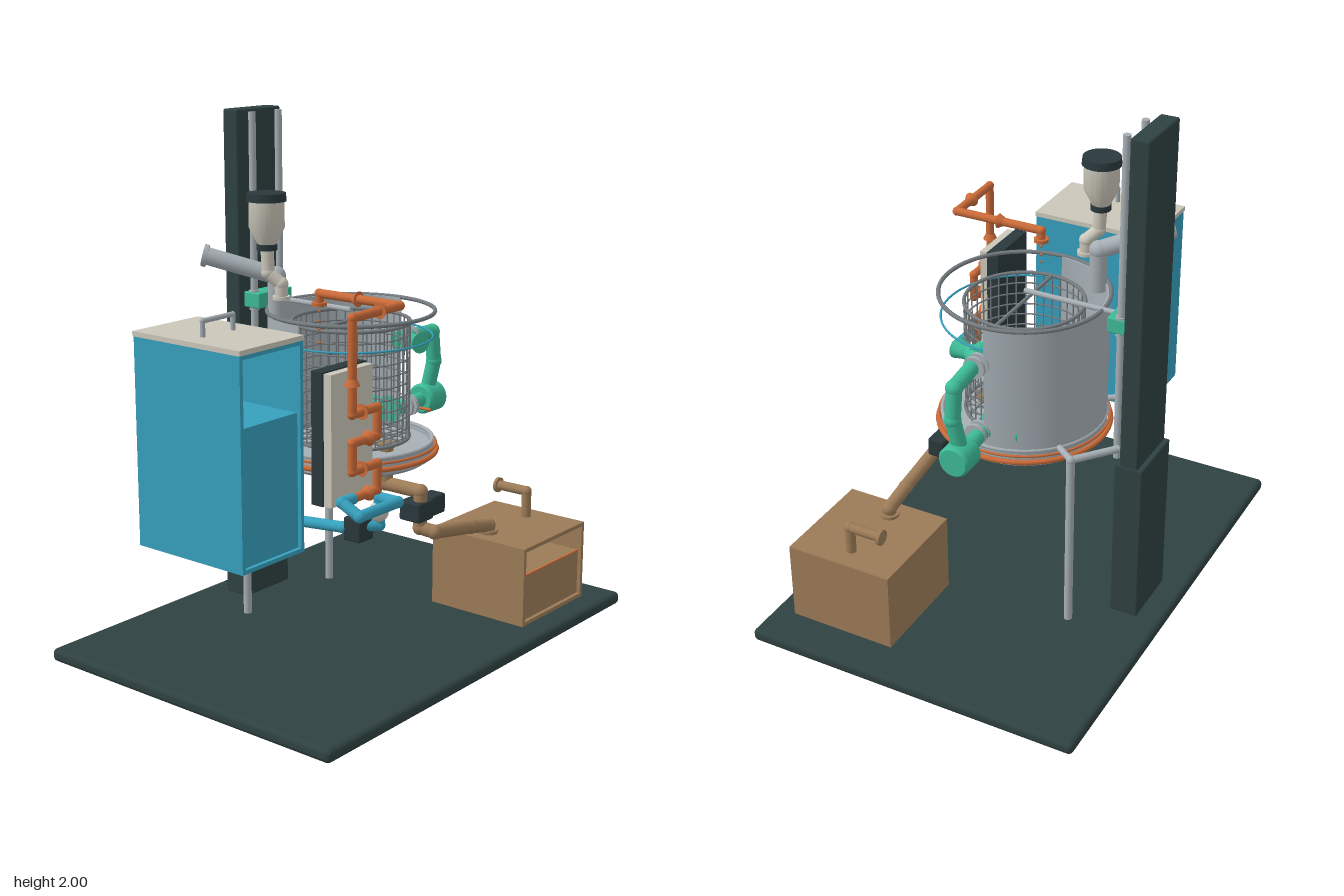
import * as THREE from 'three';
import { toCreasedNormals } from 'three/addons/utils/BufferGeometryUtils.js';
import { RoundedBoxGeometry } from 'three/addons/geometries/RoundedBoxGeometry.js';

const mat = (name, color, side = THREE.FrontSide) => {
  const m = new THREE.MeshStandardMaterial({ color, side });
  m.name = name;
  return m;
};
const dark = mat('darkFrame', 0x2f4141);
const black = mat('darkFittings', 0x2a383c);
const blue = mat('blue', 0x36a0bd);
const cream = mat('cream', 0xcbc7ba);
const steel = mat('steel', 0xa6afb5, THREE.DoubleSide);
const wire = mat('wire', 0x757c80);
const teal = mat('teal', 0x3dba97);
const copper = mat('copper', 0xca6a38);
const brown = mat('brown', 0x9c7b57);

const V = (a) => new THREE.Vector3(...a);

export function createModel() {
  const model = new THREE.Group();
  model.name = 'processRig';
  let parent = model;
  const group = (name) => {
    parent = new THREE.Group();
    parent.name = name;
    model.add(parent);
    return parent;
  };
  const add = (name, geo, m, p = [0, 0, 0]) => {
    const mesh = new THREE.Mesh(geo, m);
    mesh.name = name;
    mesh.position.set(...p);
    parent.add(mesh);
    return mesh;
  };
  // Box given by its low and high limits on each axis
  const box = (name, m, [x0, x1], [y0, y1], [z0, z1], r = 0) => {
    const s = [x1 - x0, y1 - y0, z1 - z0];
    const geo = r ? new RoundedBoxGeometry(...s, 3, r) : new THREE.BoxGeometry(...s);
    return add(name, geo, m, [(x0 + x1) / 2, (y0 + y1) / 2, (z0 + z1) / 2]);
  };
  // Straight rod or cone between two points
  const rod = (name, m, a, b, r0, r1 = r0, sides = 20) => {
    const d = V(b).sub(V(a));
    const mesh = add(name, new THREE.CylinderGeometry(r1, r0, d.length(), sides), m);
    mesh.position.copy(V(a)).addScaledVector(d, 0.5);
    mesh.quaternion.setFromUnitVectors(new THREE.Vector3(0, 1, 0), d.normalize());
    return mesh;
  };
  const ball = (name, m, p, r) => add(name, new THREE.SphereGeometry(r, 20, 14), m, p);
  const ring = (name, m, y, R, r, c = [0.053, -0.03]) => {
    const mesh = add(name, new THREE.TorusGeometry(R, r, 8, 64), m, [c[0], y, c[1]]);
    mesh.rotation.x = Math.PI / 2;
    return mesh;
  };
  // Pipe along a polyline with spherical elbows
  const pipe = (name, m, pts, r) => {
    for (let i = 1; i < pts.length; i++) {
      rod(name, m, pts[i - 1], pts[i], r);
      if (i < pts.length - 1) ball(name + 'Elbow', m, pts[i], r * 1.08);
    }
  };
  const lathe = (name, m, pts, p, start = 0, len = Math.PI * 2) => add(name,
    toCreasedNormals(new THREE.LatheGeometry(pts.map((q) => new THREE.Vector2(...q)), 64, start, len), 0.6), m, p);
  // Open-fronted container holding a block of fluid
  const tank = (name, m, [x0, x1], [y0, y1], [z0, z1], level) => {
    const t = 0.015;
    box(name + 'Back', m, [x0, x1], [y0, y1], [z0, z0 + t]);
    box(name + 'Floor', m, [x0, x1], [y0, y0 + t], [z0, z1]);
    box(name + 'Top', m, [x0, x1], [y1 - t, y1], [z0, z1]);
    box(name + 'SideRight', m, [x0, x0 + t], [y0, y1], [z0, z1]);
    box(name + 'SideLeft', m, [x1 - t, x1], [y0, y1], [z0, z1]);
    box(name + 'Fluid', m, [x0 + t, x1 - t], [y0 + t, level], [z0 + t, z1 - t]);
  };

  group('base');
  box('basePlate', dark, [-0.915, 0.915], [0.03, 0.08], [-0.665, 0.665], 0.02);
  for (const x of [-0.755, 0.755]) for (const z of [-0.515, 0.515]) rod('foot', black, [x, 0, z], [x, 0.035, z], 0.045);

  group('mast');
  box('mastColumn', dark, [-0.07, 0.175], [0.08, 2], [-0.55, -0.478], 0.008);
  box('mastFoot', dark, [-0.072, 0.177], [0.08, 0.735], [-0.57, -0.46], 0.006);
  for (const x of [-0.02, 0.127]) {
    rod('rail', steel, [x, 0.735, -0.447], [x, 1.99, -0.447], 0.014);
    rod('carriageBolt', steel, [x, 1.24, -0.447], [x, 1.315, -0.447], 0.02);
  }
  box('carriage', teal, [-0.045, 0.147], [1.25, 1.31], [-0.48, -0.4], 0.006);
  rod('basketArm', steel, [0.053, 1.28, -0.41], [0.053, 1.28, -0.03], 0.01);

  // Rear legs with braces to mast and vessel
  group('legs');
  for (const s of [-1, 1]) {
    const top = [0.053 + s * 0.247, 0.79, -0.345];
    rod('leg', steel, [top[0], 0.08, -0.345], top, 0.016);
    ball('legJoint', steel, top, 0.017);
    rod('mastBrace', steel, top, [0.053 + s * 0.1, 0.79, -0.465], 0.014);
    rod('vesselBrace', steel, top, [0.053 + s * 0.19, 0.79, -0.27], 0.012);
  }

  // Vessel with cut-away front half
  group('vessel');
  const c = [0.053, 0, -0.03];
  lathe('vesselWall', steel, [[0.298, 0.77], [0.31, 0.77], [0.31, 1.28], [0.298, 1.28], [0.298, 0.77]], c, Math.PI / 2, Math.PI);
  lathe('vesselBottom', steel, [[0, 0.655], [0.04, 0.655], [0.29, 0.715], [0.312, 0.73], [0.312, 0.785], [0.3, 0.785], [0.3, 0.77], [0, 0.765]], c);
  ring('rim', wire, 1.28, 0.312, 0.008);
  ring('lowerRim', steel, 0.79, 0.308, 0.008);
  ring('fluidLine', blue, 1.184, 0.305, 0.004);
  ring('heaterRing', copper, 0.751, 0.323, 0.01);
  ring('heaterRing', copper, 0.775, 0.321, 0.005);

  // Wire basket
  group('basket');
  const R = 0.22;
  for (let i = 0; i < 40; i++) {
    const a = i / 40 * Math.PI * 2, x = c[0] + R * Math.sin(a), z = c[2] + R * Math.cos(a);
    rod('basketUpright', wire, [x, 0.8, z], [x, 1.24, z], 0.003, 0.003, 6);
  }
  for (let i = 0; i <= 10; i++) ring('basketHoop', wire, 0.8 + i * 0.044, R, i % 10 ? 0.003 : 0.007);
  for (let i = -4; i <= 4; i++) {
    const d = i * 0.048, h = Math.sqrt(R * R - d * d);
    rod('basketFloorWire', wire, [c[0] + d, 0.8, c[2] - h], [c[0] + d, 0.8, c[2] + h], 0.0035, 0.0035, 6);
    rod('basketFloorWire', wire, [c[0] - h, 0.8, c[2] + d], [c[0] + h, 0.8, c[2] + d], 0.0035, 0.0035, 6);
  }
  rod('basketCrossbar', wire, [c[0] - R, 1.24, c[2]], [c[0] + R, 1.24, c[2]], 0.007);

  // Tall cabinet with lid and handle
  group('cabinet');
  tank('cabinet', blue, [-0.815, -0.5], [0.54, 1.292], [-0.28, 0.21], 1.04);
  box('cabinetLid', cream, [-0.818, -0.497], [1.292, 1.31], [-0.283, 0.213]);
  pipe('lidHandle', steel, [[-0.735, 1.31, -0.03], [-0.735, 1.365, -0.03], [-0.587, 1.365, -0.03], [-0.587, 1.31, -0.03]], 0.009);

  // Plate heat exchanger and copper zigzag
  group('heatExchanger');
  box('exchangerBack', black, [-0.527, -0.29], [0.73, 1.2], [0.268, 0.317]);
  box('exchangerPlate', cream, [-0.52, -0.297], [0.73, 1.195], [0.317, 0.35]);
  const zig = [[-0.212, 1.355, 0.04], [-0.212, 1.39, 0.04], [-0.212, 1.39, 0.4], [-0.477, 1.39, 0.405]];
  [1.06, 0.96, 0.86, 0.765].forEach((y, i) => {
    const x = [-0.477, -0.34];
    zig.push([x[i % 2], y, 0.405], [x[(i + 1) % 2], y, 0.405]);
  });
  pipe('copperPipe', copper, zig, 0.016);
  rod('copperFlange', copper, [-0.212, 1.345, 0.04], [-0.212, 1.358, 0.04], 0.028);
  for (const y of [1.325, 1.29, 1.26, 1.21]) ball('drop', copper, [-0.212, y, 0.04], 0.005);
  const arrow = (a, b) => rod('flowArrow', copper, a, b, 0.028, 0.008);
  [1.06, 0.96, 0.86, 0.765].forEach((y, i) => {
    const s = i % 2 ? -1 : 1;
    arrow([-0.408 - s * 0.02, y, 0.405], [-0.408 + s * 0.02, y, 0.405]);
  });
  arrow([-0.33, 1.39, 0.403], [-0.29, 1.39, 0.403]);
  arrow([-0.477, 1.16, 0.405], [-0.477, 1.2, 0.405]);
  arrow([-0.212, 1.39, 0.22], [-0.212, 1.39, 0.18]);

  // Blue feed line with two pumps
  group('feedLine');
  pipe('bluePipe', blue, [[-0.51, 0.6, 0.09], [-0.395, 0.6, 0.09], [-0.395, 0.62, 0.3], [-0.37, 0.63, 0.36],
    [-0.32, 0.63, 0.4], [-0.32, 0.73, 0.4], [-0.32, 0.73, 0.48], [-0.53, 0.73, 0.48], [-0.53, 0.765, 0.405], [-0.47, 0.765, 0.405]], 0.02);
  rod('blueStub', blue, [-0.33, 0.625, 0.36], [-0.285, 0.625, 0.36], 0.016);
  box('smallPump', black, [-0.485, -0.425], [0.57, 0.63], [0.06, 0.12], 0.008);
  box('feedPump', black, [-0.41, -0.33], [0.58, 0.665], [0.31, 0.385], 0.008);
  ball('feedFloat', cream, [-0.325, 0.68, 0.4], 0.036);

  // Hopper
  group('hopper');
  lathe('hopperBody', cream, [[0, 1.54], [0.032, 1.54], [0.065, 1.605], [0.065, 1.7], [0, 1.7]], [-0.225, 0, -0.195]);
  rod('hopperLid', black, [-0.225, 1.7, -0.195], [-0.225, 1.73, -0.195], 0.073, 0.07, 32);
  rod('hopperCollar', black, [-0.225, 1.523, -0.195], [-0.225, 1.545, -0.195], 0.038);
  pipe('hopperSpout', cream, [[-0.225, 1.53, -0.195], [-0.225, 1.44, -0.19], [-0.2, 1.4, -0.15], [-0.2, 1.35, -0.15]], 0.024);
  rod('spoutFlange', cream, [-0.2, 1.343, -0.15], [-0.2, 1.356, -0.15], 0.033);

  // Vent pipe
  group('vent');
  pipe('ventPipe', steel, [[-0.13, 1.25, -0.235], [-0.13, 1.41, -0.235], [-0.275, 1.48, -0.445]], 0.033);
  rod('ventFlange', steel, [-0.275, 1.48, -0.445], [-0.285, 1.484, -0.458], 0.042);

  // Circulation pump and its two side branches
  group('circulation');
  pipe('upperBranch', teal, [[0.31, 1.13, 0.1], [0.31, 1.13, 0.05], [0.36, 1.13, 0], [0.535, 1.12, -0.01], [0.55, 1, -0.01], [0.54, 0.89, -0.03]], 0.029);
  pipe('lowerBranch', teal, [[0.51, 0.85, -0.03], [0.36, 0.85, -0.02], [0.31, 0.85, -0.06], [0.31, 0.85, -0.12]], 0.029);
  rod('upperNozzle', teal, [0.31, 1.13, 0.08], [0.3, 1.13, 0.11], 0.03, 0.04);
  rod('lowerNozzle', teal, [0.31, 0.85, -0.1], [0.3, 0.85, -0.14], 0.03, 0.045);
  rod('upperValve', teal, [0.275, 1.13, 0.02], [0.335, 1.13, 0.02], 0.036);
  rod('lowerValve', teal, [0.285, 0.85, -0.03], [0.33, 0.85, -0.03], 0.055, 0.03);
  for (const y of [1.128, 0.85]) for (const x of [0.355, 0.385]) rod('branchCollar', steel, [x, y, -0.01], [x + 0.014, y, -0.01], 0.042);
  rod('probe', copper, [0.41, 0.84, 0], [0.41, 0.84, 0.08], 0.006);
  const pump = lathe('pumpHousing', teal, [[0, -0.053], [0.052, -0.053], [0.06, -0.043], [0.06, 0.043], [0.052, 0.053], [0, 0.053]], [0.54, 0.85, -0.03]);
  pump.rotation.z = Math.PI / 2;

  // Drain line with valve
  group('drain');
  pipe('drainPipe', brown, [[0.053, 0.79, 0.14], [0.053, 0.64, 0.14], [0.053, 0.64, 0.3], [0.053, 0.5, 0.3], [0.07, 0.49, 0.353], [0.3, 0.45, 0.355], [0.42, 0.425, 0.355], [0.42, 0.36, 0.355]], 0.026);
  rod('drainInlet', brown, [0.053, 0.785, 0.14], [0.053, 0.8, 0.14], 0.036);
  rod('drainFlange', brown, [0.42, 0.35, 0.355], [0.42, 0.365, 0.355], 0.037);
  rod('drainTankFlange', brown, [0.42, 0.395, 0.355], [0.42, 0.407, 0.355], 0.037);
  box('valveBody', black, [0.008, 0.098], [0.53, 0.605], [0.235, 0.33], 0.008);
  box('valveMotor', black, [0.1, 0.178], [0.535, 0.61], [0.255, 0.325], 0.008);

  // Collection tank with vent tap
  group('collectionTank');
  tank('collectionTank', brown, [0.34, 0.765], [0.085, 0.395], [0.15, 0.575], 0.28);
  box('fluidLevelLine', copper, [0.355, 0.75], [0.277, 0.282], [0.556, 0.563]);
  pipe('tapPipe', brown, [[0.677, 0.39, 0.36], [0.677, 0.5, 0.36], [0.677, 0.5, 0.225]], 0.019);
  rod('tapFlange', brown, [0.677, 0.5, 0.22], [0.677, 0.5, 0.232], 0.03);
  return model;
}
